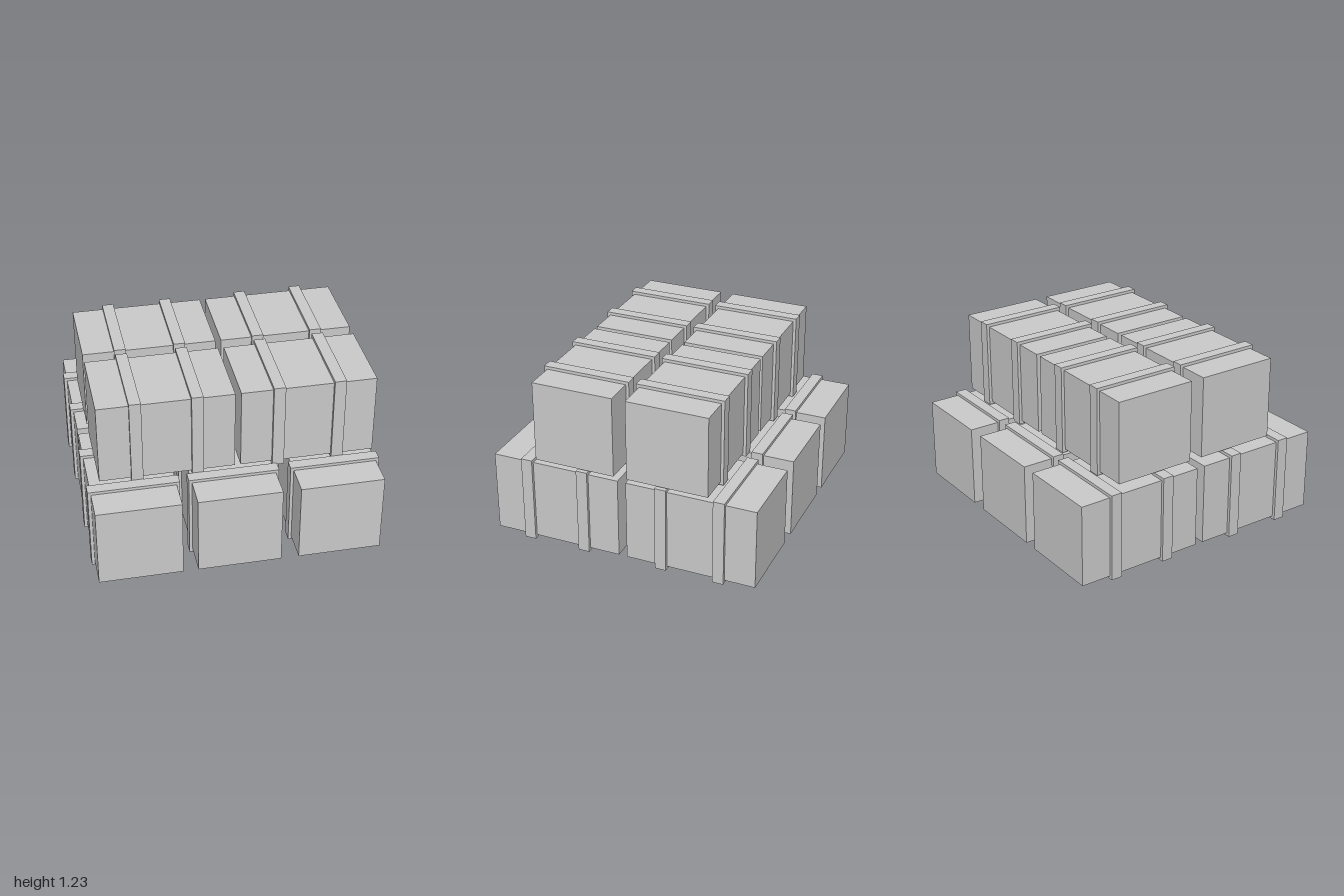
import * as THREE from 'three';

const SIDE = 0.577, LENGTH = 0.923, STRAP_SIDE = 0.62, STRAP_WIDTH = 0.08, STRAP_OFFSET = 0.206;

const material = new THREE.MeshStandardMaterial({ color: 0xcccccc, flatShading: true });

function box(name, w, h, d, z = 0) {
  const mesh = new THREE.Mesh(new THREE.BoxGeometry(w, h, d), material);
  mesh.name = name;
  mesh.position.z = z;
  return mesh;
}

// One crate lying along z, with two straps wrapped around it
function createCrate(name, x, y, z) {
  const crate = new THREE.Group();
  crate.name = name;
  crate.add(box('crateBody', SIDE, SIDE, LENGTH));
  for (const s of [-1, 1]) {
    crate.add(box('strap', STRAP_SIDE, STRAP_SIDE, STRAP_WIDTH, s * STRAP_OFFSET));
  }
  crate.position.set(x, y, z);
  return crate;
}

export function createModel() {
  const model = new THREE.Group();
  model.name = 'crateStack';

  // Lower layer: three columns, two rows, lengthwise front to back
  for (const z of [0.491, -0.491]) {
    for (const x of [-0.69, -0.01, 0.69]) {
      model.add(createCrate('lowerCrate', x, 0.313, z));
    }
  }

  // Upper layer: two by two, turned to lie across the lower crates
  for (const z of [0.346, -0.326]) {
    for (const x of [-0.446, 0.517]) {
      const crate = createCrate('upperCrate', x, 0.919, z);
      crate.rotation.y = Math.PI / 2;
      model.add(crate);
    }
  }
  return model;
}
